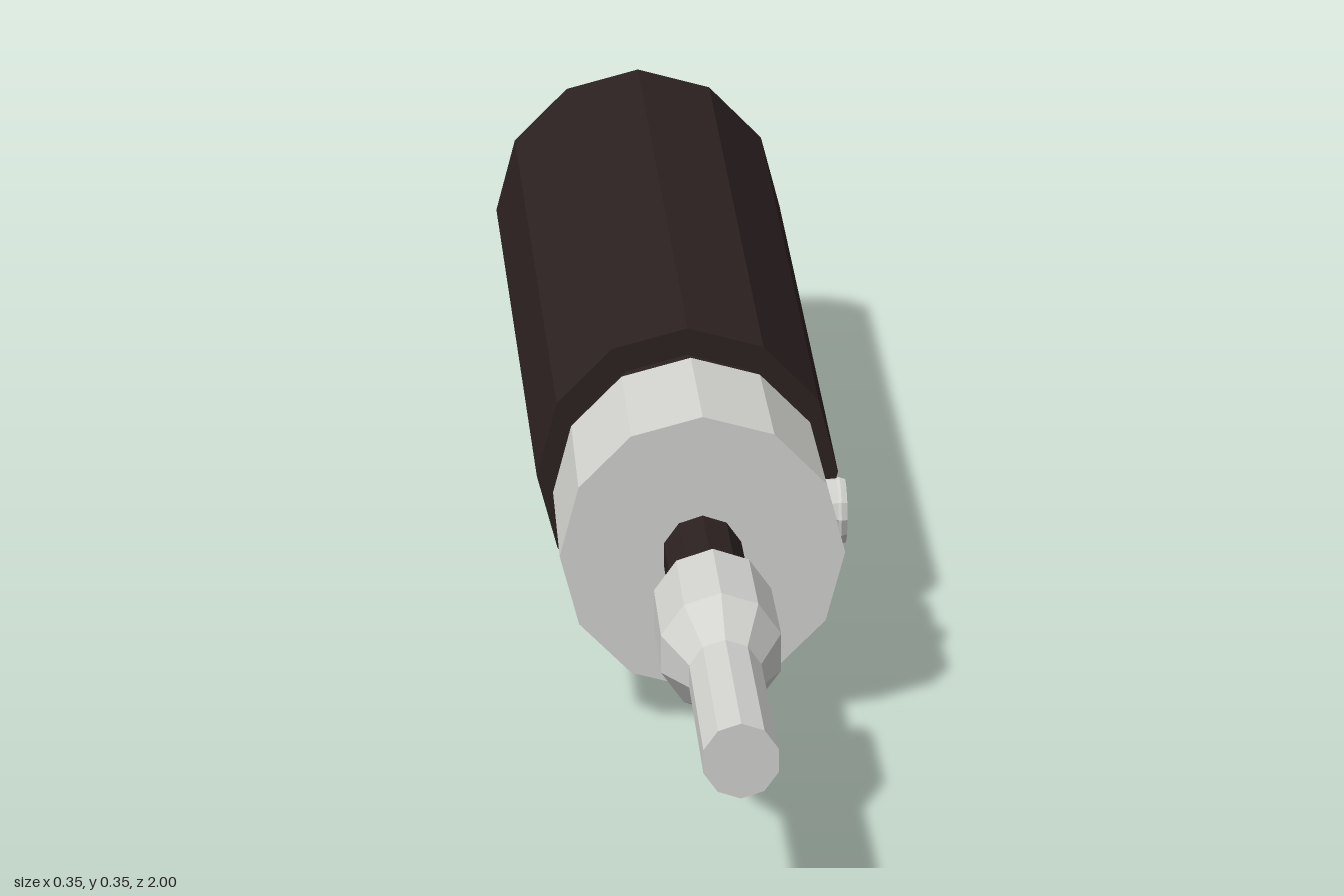
import * as THREE from 'three';

const AXIS_Y = 0.175;

// Faceted solid of revolution; profile is [radius, position along axis], rear to front
function turned(profile, sides) {
  const points = profile.map(([r, d]) => new THREE.Vector2(r, d));
  const geometry = new THREE.LatheGeometry(points, sides).toNonIndexed();
  geometry.computeVertexNormals();
  return geometry;
}

export function createModel() {
  const darkGrip = new THREE.MeshStandardMaterial({ color: 0x2c2121 });
  darkGrip.name = 'darkGrip';
  const paleMetal = new THREE.MeshStandardMaterial({ color: 0xd2d3cf });
  paleMetal.name = 'paleMetal';

  const model = new THREE.Group();
  model.name = 'handTool';

  // Parts turned around the long z axis
  function addAlongZ(name, profile, sides, material) {
    const mesh = new THREE.Mesh(turned(profile, sides).rotateX(Math.PI / 2), material);
    mesh.name = name;
    mesh.position.y = AXIS_Y;
    model.add(mesh);
  }

  // Tapered grip, stepped down to a neck behind the collar
  addAlongZ('handle', [[0, -1], [0.175, -1], [0.156, 0.13], [0.128, 0.13], [0.128, 0.19], [0, 0.19]], 12, darkGrip);
  addAlongZ('collar', [[0, 0.188], [0.141, 0.188], [0.141, 0.403], [0, 0.403]], 12, paleMetal);
  addAlongZ('shaft', [[0, 0.39], [0.04, 0.39], [0.04, 0.6], [0, 0.6]], 10, darkGrip);

  // Wide socket narrowing to the working rod
  addAlongZ('tip', [[0, 0.57], [0.059, 0.57], [0.059, 0.705], [0.035, 0.77], [0.035, 1], [0, 1]], 10, paleMetal);

  // Set screw on the left side of the collar, with a dark recess
  const setScrew = new THREE.Group();
  setScrew.name = 'setScrew';
  const rim = new THREE.Mesh(
    turned([[0.033, 0.1], [0.033, 0.143], [0.035, 0.146], [0.033, 0.152], [0.021, 0.152], [0.018, 0.142]], 12),
    paleMetal);
  rim.name = 'screwRim';
  const recess = new THREE.Mesh(turned([[0.019, 0.142], [0, 0.142]], 12), darkGrip);
  recess.name = 'screwRecess';
  setScrew.add(rim, recess);
  setScrew.rotation.z = -Math.PI / 2;
  setScrew.position.set(0, AXIS_Y, 0.265);
  model.add(setScrew);

  return model;
}
